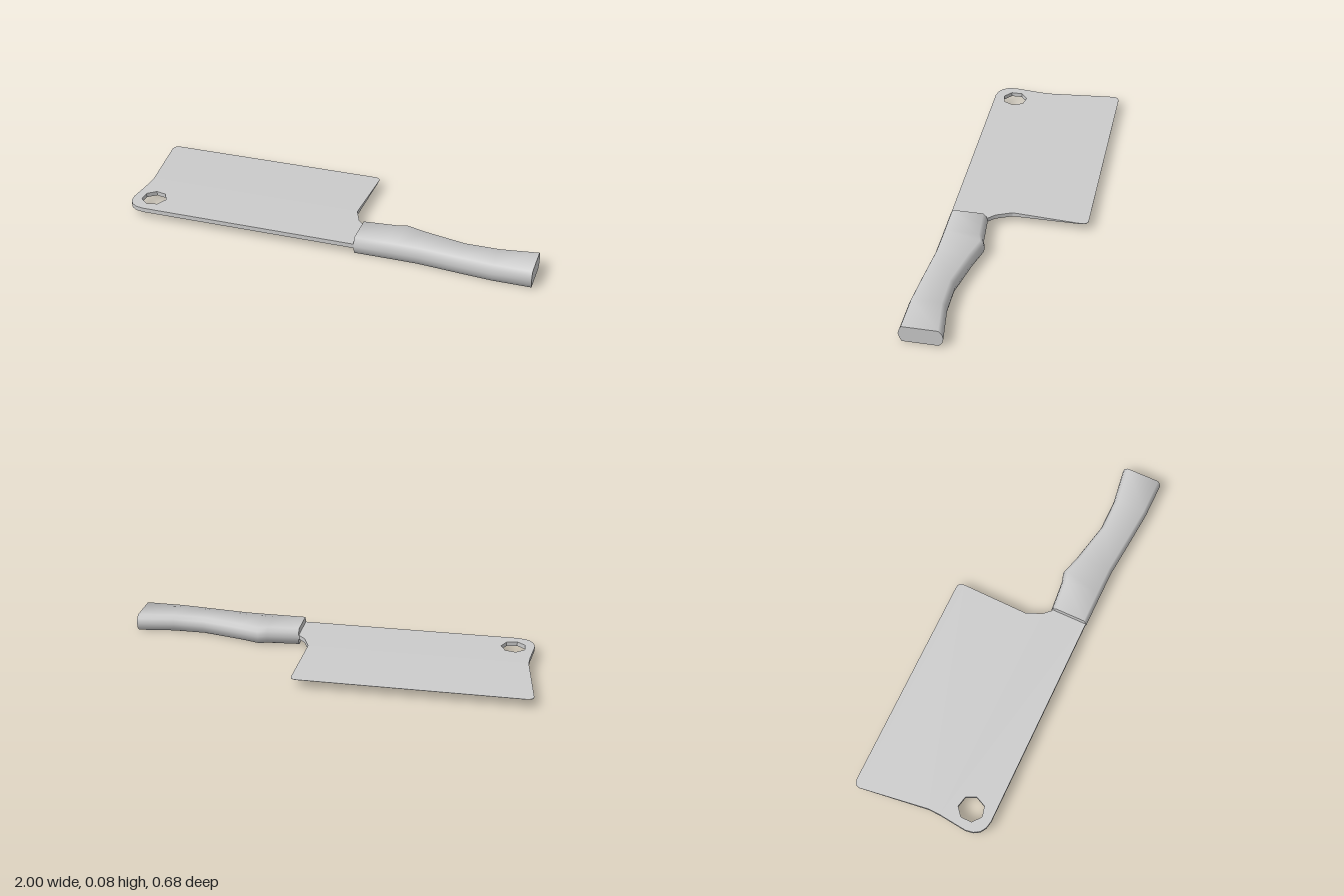
import * as THREE from 'three';
import { toCreasedNormals } from 'three/addons/utils/BufferGeometryUtils.js';

const MID = 0.042;         // height of the blade's centre plane
const HALF = 0.0105;       // half thickness of the blade at its spine
const TAPER_START = 0.02;  // z where the blade starts thinning
const EDGE_Z = -0.342;     // z of the cutting edge

const material = new THREE.MeshStandardMaterial({ color: 0xcccccc });

function addMesh(group, name, geometry, crease) {
  const mesh = new THREE.Mesh(toCreasedNormals(geometry, crease), material);
  mesh.name = name;
  group.add(mesh);
}

// Lays an (x, z) outline flat and thins it towards the cutting edge
function bladePart(shape) {
  const geometry = new THREE.ExtrudeGeometry(shape, { depth: 2 * HALF, bevelEnabled: false, curveSegments: 4 });
  geometry.translate(0, 0, -HALF).rotateX(Math.PI / 2);
  const p = geometry.attributes.position;
  for (let i = 0; i < p.count; i++) {
    const t = THREE.MathUtils.clamp((p.getZ(i) - EDGE_Z) / (TAPER_START - EDGE_Z), 0, 1);
    p.setY(i, MID + p.getY(i) * THREE.MathUtils.lerp(0.08, 1, t));
  }
  return geometry;
}

// Thick rear half of the blade, with the hanging hole
function spineShape() {
  const shape = new THREE.Shape();
  shape.moveTo(-0.955, TAPER_START);
  shape.lineTo(0.1, TAPER_START);
  shape.lineTo(0.133, 0.097);
  shape.lineTo(0.165, 0.13);
  shape.lineTo(0.2, 0.13);
  shape.lineTo(0.2, 0.305);
  shape.lineTo(-0.885, 0.305);
  shape.quadraticCurveTo(-0.97, 0.3, -0.972, 0.215);
  shape.lineTo(-0.957, 0.08);
  const hole = [];
  for (let i = 0; i < 7; i++) {
    const a = (-i / 7) * Math.PI * 2;
    hole.push(new THREE.Vector2(-0.872 + 0.06 * Math.cos(a), 0.198 + 0.062 * Math.sin(a)));
  }
  shape.holes.push(new THREE.Path(hole));
  return shape;
}

// Tapered half ending in the cutting edge
function edgeShape() {
  const shape = new THREE.Shape();
  shape.moveTo(-0.955, TAPER_START);
  shape.lineTo(-1, -0.31);
  shape.quadraticCurveTo(-1, EDGE_Z, -0.965, EDGE_Z);
  shape.lineTo(0.08, EDGE_Z);
  shape.quadraticCurveTo(0.11, EDGE_Z, 0.11, -0.31);
  shape.lineTo(0.1, TAPER_START);
  return shape;
}

// Handle: chamfered section lofted through stations [x, back z, front z]
function handleGeometry() {
  const stations = [
    [0.17, 0.125, 0.309], [0.325, 0.111, 0.309], [0.37, 0.097, 0.309], [0.47, 0.126, 0.31],
    [0.665, 0.168, 0.328], [0.82, 0.168, 0.341], [1, 0.142, 0.342],
  ];
  const section = (b, f) => [
    [f, MID], [f - 0.006, 0.063], [f - 0.015, 0.083], [b + 0.022, 0.083], [b + 0.006, 0.066],
    [b, MID], [b + 0.006, 0.017], [b + 0.022, 0], [f - 0.015, 0], [f - 0.006, 0.02],
  ];
  const n = 10, last = (stations.length - 1) * n;
  const positions = [], index = [];
  stations.forEach(([x, b, f]) => section(b, f).forEach(([z, y]) => positions.push(x, y, z)));
  for (let s = 0; s < last; s += n) {
    for (let j = 0; j < n; j++) {
      const k = (j + 1) % n;
      index.push(s + j, s + n + j, s + n + k, s + j, s + n + k, s + k);
    }
  }
  // End caps
  for (let j = 1; j < n - 1; j++) {
    index.push(0, j, j + 1, last, last + j + 1, last + j);
  }
  const geometry = new THREE.BufferGeometry();
  geometry.setAttribute('position', new THREE.Float32BufferAttribute(positions, 3));
  geometry.setIndex(index);
  return geometry;
}

export function createModel() {
  const model = new THREE.Group();
  model.name = 'cleaver';

  const blade = new THREE.Group();
  blade.name = 'blade';
  addMesh(blade, 'bladeSpine', bladePart(spineShape()), 0.6);
  addMesh(blade, 'bladeEdge', bladePart(edgeShape()), 0.6);
  model.add(blade);

  addMesh(model, 'handle', handleGeometry(), 1.3);
  return model;
}
